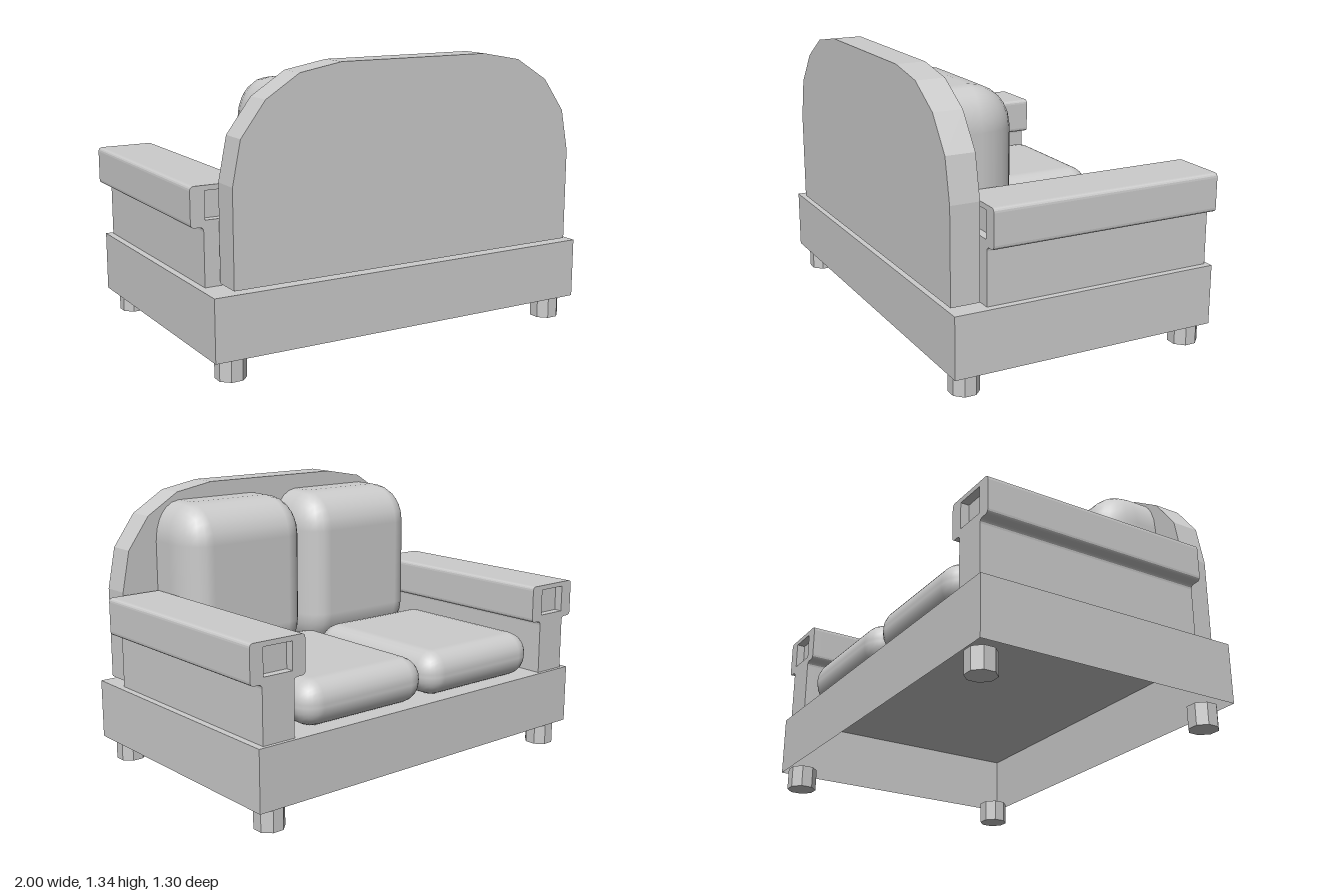
import * as THREE from 'three';
import { RoundedBoxGeometry } from 'three/addons/geometries/RoundedBoxGeometry.js';

export function createModel() {
  const group = new THREE.Group();
  const grey = new THREE.MeshStandardMaterial({ color: 0xcccccc });
  const thin = new THREE.MeshStandardMaterial({ color: 0xcccccc, side: THREE.DoubleSide });

  function add(name, geometry, x, y, z, parent = group, material = grey) {
    const mesh = new THREE.Mesh(geometry, material);
    mesh.name = name;
    mesh.position.set(x, y, z);
    parent.add(mesh);
    return mesh;
  }
  const extrude = (shape, depth) =>
    new THREE.ExtrudeGeometry(shape, { depth, bevelEnabled: false, curveSegments: 4 });

  // Base: a thin shell with no underside
  const base = new THREE.BoxGeometry(1.945, 0.285, 1.304);
  const index = Array.from(base.index.array);
  index.splice(18, 6);
  base.setIndex(index);
  base.clearGroups();
  add('base', base, 0, 0.2475, 0, group, thin);

  // Eight-sided legs
  const leg = new THREE.CylinderGeometry(0.07, 0.07, 0.105, 8, 1, false, Math.PI / 8).toNonIndexed();
  leg.computeVertexNormals();
  for (const x of [-0.863, 0.873]) {
    for (const z of [-0.58, 0.563]) add('leg', leg, x, 0.0525, z);
  }

  // Arched back panel
  const arch = [[-0.877, 0.405], [0.914, 0.405], [0.914, 0.845], [0.874, 1.043], [0.762, 1.198],
    [0.596, 1.3], [0.398, 1.336], [-0.356, 1.336], [-0.559, 1.3], [-0.72, 1.198],
    [-0.837, 1.043], [-0.877, 0.845]];
  const archShape = new THREE.Shape(arch.map(([x, y]) => new THREE.Vector2(x, y)));
  add('backPanel', extrude(archShape, 0.137), 0, 0, 0.505);

  // T-shaped arm profile with small rounded corners, optionally pierced for the end pocket
  function armShape(pierced) {
    const w = 0.1425, s = 0.0825, top = 0.835, low = 0.655, r = 0.02;
    const shape = new THREE.Shape();
    shape.moveTo(-s, 0.39);
    shape.lineTo(s, 0.39);
    shape.lineTo(s, low - r);
    shape.quadraticCurveTo(s, low, s + r, low);
    shape.lineTo(w - r, low);
    shape.quadraticCurveTo(w, low, w, low + r);
    shape.lineTo(w, top - r);
    shape.quadraticCurveTo(w, top, w - r, top);
    shape.lineTo(r - w, top);
    shape.quadraticCurveTo(-w, top, -w, top - r);
    shape.lineTo(-w, low + r);
    shape.quadraticCurveTo(-w, low, r - w, low);
    shape.lineTo(-s - r, low);
    shape.quadraticCurveTo(-s, low, -s, low - r);
    shape.closePath();
    if (pierced) {
      shape.holes.push(new THREE.Path([[-0.075, 0.685], [-0.075, 0.812], [0.075, 0.812], [0.075, 0.685]]
        .map(([x, y]) => new THREE.Vector2(x, y))));
    }
    return shape;
  }
  const pocket = 0.04, armBack = 0.487, armFront = -0.635;
  const armEnd = extrude(armShape(true), pocket);
  const armMiddle = extrude(armShape(false), armBack - armFront - 2 * pocket);
  for (const x of [-0.8575, 0.8575]) {
    const arm = new THREE.Group();
    arm.name = 'arm';
    arm.position.x = x;
    add('armFrontEnd', armEnd, 0, 0, armFront, arm);
    add('armMiddle', armMiddle, 0, 0, armFront + pocket, arm);
    add('armBackEnd', armEnd, 0, 0, armBack - pocket, arm);
    group.add(arm);
  }

  // Seat cushions
  const seat = new RoundedBoxGeometry(0.71, 0.215, 0.85, 3, 0.1);
  for (const x of [-0.37, 0.355]) add('seatCushion', seat, x, 0.4975, -0.21);

  // Back cushions: strongly rounded in front, flat against the panel
  const rest = new RoundedBoxGeometry(1, 0.812, 0.6, 3, 0.19);
  rest.scale(0.71, 1, 1);
  const p = rest.attributes.position;
  for (let i = 0; i < p.count; i++) p.setZ(i, Math.min(p.getZ(i), 0.03));
  for (const x of [-0.347, 0.367]) add('backCushion', rest, x, 0.856, 0.505);

  return group;
}
